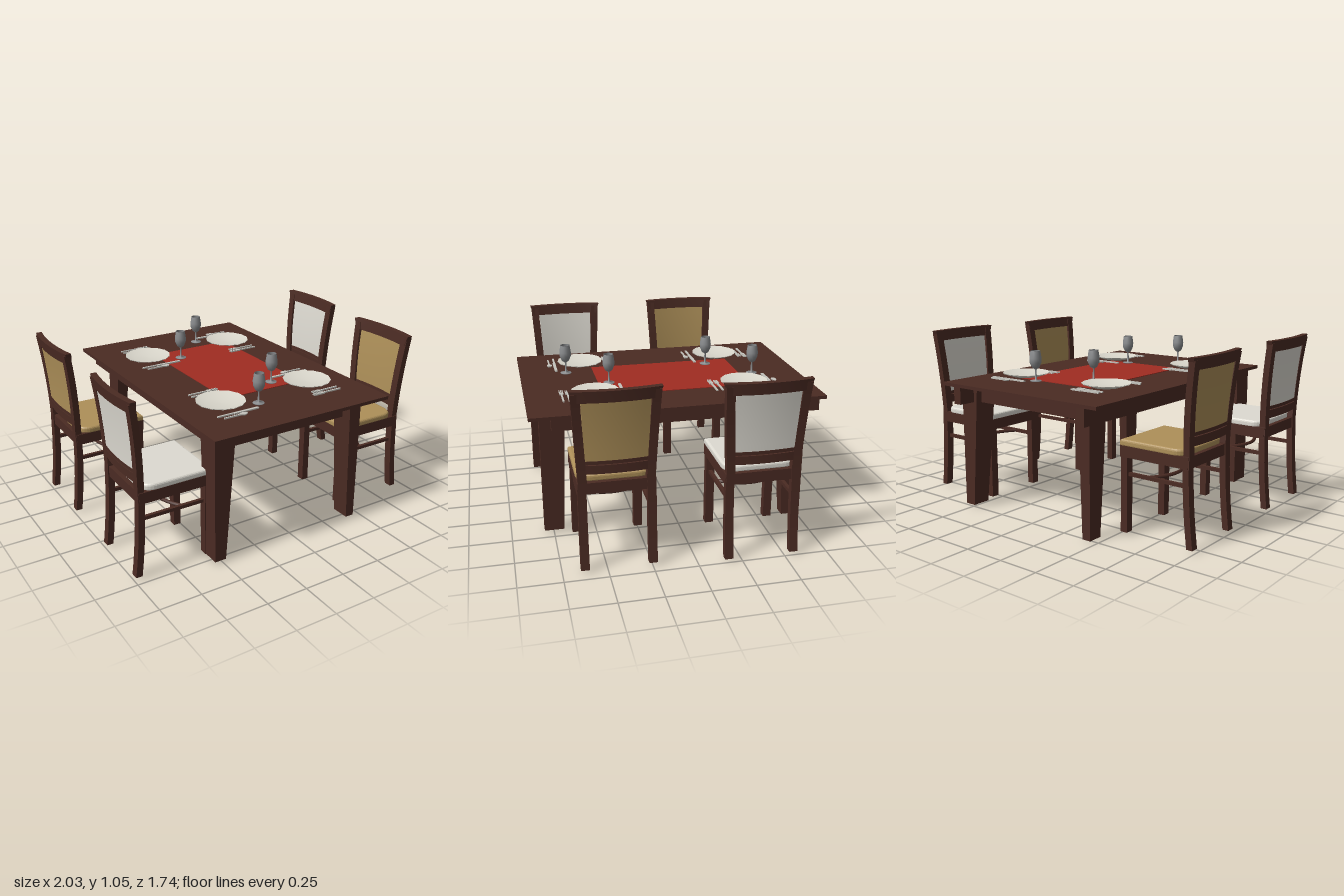
import * as THREE from 'three';

const mat = (name, color) => {
  const m = new THREE.MeshStandardMaterial({ color });
  m.name = name;
  return m;
};

export function createModel() {
  const wood = mat('darkWood', 0x4b2b23);
  const white = mat('whiteFabric', 0xdedbd2);
  const tan = mat('tanFabric', 0xae9059);
  const red = mat('redCloth', 0xa02c22);
  const china = mat('china', 0xdad7cc);
  const metal = mat('cutleryMetal', 0xc4c3bc);
  const glass = mat('greyGlass', 0x8a8c8e);

  const root = new THREE.Group();
  root.name = 'diningSet';

  const add = (parent, name, geo, material) => {
    const m = new THREE.Mesh(geo, material);
    m.name = name;
    parent.add(m);
    return m;
  };
  // box given by its lower and upper limits
  const box = (parent, name, x0, x1, y0, y1, z0, z1, material = wood) => {
    const g = new THREE.BoxGeometry(x1 - x0, y1 - y0, z1 - z0);
    g.translate((x0 + x1) / 2, (y0 + y1) / 2, (z0 + z1) / 2);
    return add(parent, name, g, material);
  };
  // move every vertex by a rule
  const warp = (geo, rule) => {
    const p = geo.attributes.position, v = new THREE.Vector3();
    for (let i = 0; i < p.count; i++) {
      rule(v.fromBufferAttribute(p, i));
      p.setXYZ(i, v.x, v.y, v.z);
    }
    geo.computeVertexNormals();
    return geo;
  };

  // ---- Table ----
  const table = new THREE.Group();
  table.name = 'table';
  root.add(table);
  box(table, 'tableTop', -0.585, 0.595, 0.775, 0.795, -0.87, 0.87);
  box(table, 'runner', -0.235, 0.31, 0.795, 0.799, -0.49, 0.41, red);
  box(table, 'frontApron', -0.5, 0.42, 0.668, 0.776, 0.7, 0.74);
  box(table, 'backApron', -0.46, 0.5, 0.668, 0.776, -0.72, -0.68);
  box(table, 'rightApron', -0.5, -0.45, 0.672, 0.776, -0.865, 0.74);
  box(table, 'leftApron', 0.45, 0.505, 0.672, 0.776, -0.865, 0.74);

  // tapered legs: straight outer faces, inner faces slope
  const tableLeg = (outX, outZ, topX, topZ, botX, botZ, y0) => {
    const sx = Math.sign(outX), sz = Math.sign(outZ);
    const g = new THREE.BoxGeometry(1, 1, 1);
    warp(g, v => {
      const top = v.y > 0;
      v.x = outX - sx * (v.x + 0.5) * (top ? topX : botX) * 1;
      v.z = outZ - sz * (v.z + 0.5) * (top ? topZ : botZ) * 1;
      v.y = top ? 0.776 : y0;
    });
    // mirrored on one axis only: turn the faces round
    if (sx * sz < 0) g.index.array.reverse();
    g.computeVertexNormals();
    add(table, 'tableLeg', g, wood);
  };
  tableLeg(-0.548, 0.805, 0.13, 0.15, 0.07, 0.115, 0.015);
  tableLeg(0.445, 0.805, 0.08, 0.15, 0.055, 0.115, 0.015);
  tableLeg(0.55, -0.76, 0.13, 0.15, 0.07, 0.115, 0.015);
  tableLeg(-0.45, -0.76, 0.08, 0.15, 0.055, 0.09, 0);

  // ---- Chairs: local +x points to the backrest, front edge at x = 0 ----
  const lean = y => 0.432 + 0.038 * ((y - 0.5) / 0.52) ** 2;
  const flare = y => (y > 0.5 ? 0.184 + 0.03 * ((y - 0.5) / 0.55) : 0.19);
  const bow = z => 0.018 * (1 - (z / 0.21) ** 2);

  const chair = (name, fabric, x, z, turn) => {
    const c = new THREE.Group();
    c.name = name;
    c.position.set(x, 0, z);
    c.rotation.y = turn;
    root.add(c);

    for (const s of [-1, 1]) {
      const post = new THREE.BoxGeometry(0.038, 1.02, 0.048, 1, 14, 1);
      warp(post, v => {
        v.y += 0.525;
        v.x += lean(v.y);
        v.z += s * flare(v.y);
      });
      add(c, 'backPost', post.toNonIndexed(), wood).geometry.computeVertexNormals();
      const zc = s * 0.185;
      box(c, 'frontLeg', 0.005, 0.048, 0.015, 0.46, zc - 0.025, zc + 0.025);
      box(c, 'sideStretcher', 0.04, 0.45, 0.345, 0.365, zc - 0.01, zc + 0.01);
    }

    // curved cross stretcher
    const arc = new THREE.QuadraticBezierCurve3(
      new THREE.Vector3(0.17, 0.355, -0.185),
      new THREE.Vector3(0.31, 0.355, 0),
      new THREE.Vector3(0.17, 0.355, 0.185));
    add(c, 'crossStretcher', new THREE.TubeGeometry(arc, 12, 0.011, 6), wood);

    // seat frame and cushion
    box(c, 'seatFrame', 0, 0.445, 0.455, 0.52, -0.214, 0.214);
    const o = new THREE.Shape();
    o.moveTo(0.015, -0.2);
    o.lineTo(0.34, -0.2);
    o.quadraticCurveTo(0.405, -0.2, 0.405, -0.12);
    o.lineTo(0.405, 0.12);
    o.quadraticCurveTo(0.405, 0.2, 0.34, 0.2);
    o.lineTo(0.015, 0.2);
    const cushion = new THREE.ExtrudeGeometry(o, {
      depth: 0.016, bevelThickness: 0.014, bevelSize: 0.014, bevelSegments: 3, curveSegments: 8,
    });
    cushion.rotateX(-Math.PI / 2).translate(0, 0.525, 0);
    add(c, 'seatCushion', cushion, fabric);

    // curved rails and back panel following the posts
    const slat = (label, y0, y1, half, thick, material, grow = 0) => {
      const g = new THREE.BoxGeometry(thick, y1 - y0, half * 2, 1, 8, 10);
      warp(g, v => {
        v.y += (y0 + y1) / 2;
        v.z *= 1 + grow * (v.y - y0) / (y1 - y0);
        v.x += lean(v.y) + bow(v.z);
      });
      add(c, label, g, material);
    };
    slat('topRail', 0.985, 1.05, 0.222, 0.036, wood, 0.1);
    slat('lowerRail', 0.575, 0.625, 0.175, 0.025, wood);
    slat('panelRail', 0.63, 0.65, 0.175, 0.025, wood);
    slat('backPanel', 0.645, 0.988, 0.172, 0.022, fabric, 0.06);
  };
  chair('leftFrontChair', tan, 0.45, 0.435, 0);
  chair('leftBackChair', white, 0.505, -0.365, 0);
  chair('rightFrontChair', white, -0.505, 0.495, Math.PI);
  chair('rightBackChair', tan, -0.505, -0.35, Math.PI);

  // ---- Place settings ----
  const lathe = (pts, n) => new THREE.LatheGeometry(pts.map(p => new THREE.Vector2(...p)), n);
  const plateGeo = lathe([[0, 0.806], [0.085, 0.806], [0.145, 0.826], [0.145, 0.83],
    [0.09, 0.813], [0, 0.811]], 14);
  const glassGeo = lathe([[0, 0.808], [0.034, 0.808], [0.034, 0.812], [0.006, 0.818], [0.005, 0.878],
    [0.022, 0.89], [0.035, 0.92], [0.036, 0.945], [0.029, 0.99], [0.027, 0.99],
    [0.033, 0.945], [0.032, 0.922], [0.02, 0.895], [0, 0.888]], 16);

  const setting = (x, z, turn) => {
    const s = new THREE.Group();
    s.name = 'placeSetting';
    s.position.set(x, 0, z);
    s.rotation.y = turn;
    root.add(s);
    add(s, 'plate', plateGeo, china);
    add(s, 'wineGlass', glassGeo, glass).position.set(0.185, 0, 0.11);
    const y0 = 0.806, y1 = 0.814;
    const bar = (n, a, b, zc, w) => box(s, n, a, b, y0, y1, zc - w / 2, zc + w / 2, metal);
    // two forks
    for (const [zc, end] of [[-0.195, 0.095], [-0.16, 0.08]]) {
      bar('forkHandle', -0.1, 0.03, zc, 0.01);
      bar('forkNeck', 0.025, 0.045, zc, 0.024);
      for (const k of [-1, 0, 1]) bar('forkTine', 0.04, end, zc + k * 0.009, 0.005);
    }
    // knife
    bar('knifeHandle', -0.12, -0.02, 0.165, 0.011);
    bar('knifeBlade', -0.02, 0.145, 0.167, 0.017);
    // spoon
    bar('spoonHandle', -0.1, 0.01, 0.2, 0.009);
    const bowl = new THREE.CylinderGeometry(0.027, 0.022, 0.008, 12);
    bowl.scale(1, 1, 0.6).translate(0.025, 0.81, 0.2);
    add(s, 'spoonBowl', bowl, metal);
  };
  setting(-0.31, -0.435, 0);
  setting(-0.31, 0.475, 0);
  setting(0.31, -0.45, Math.PI);
  setting(0.31, 0.46, Math.PI);

  return root;
}
